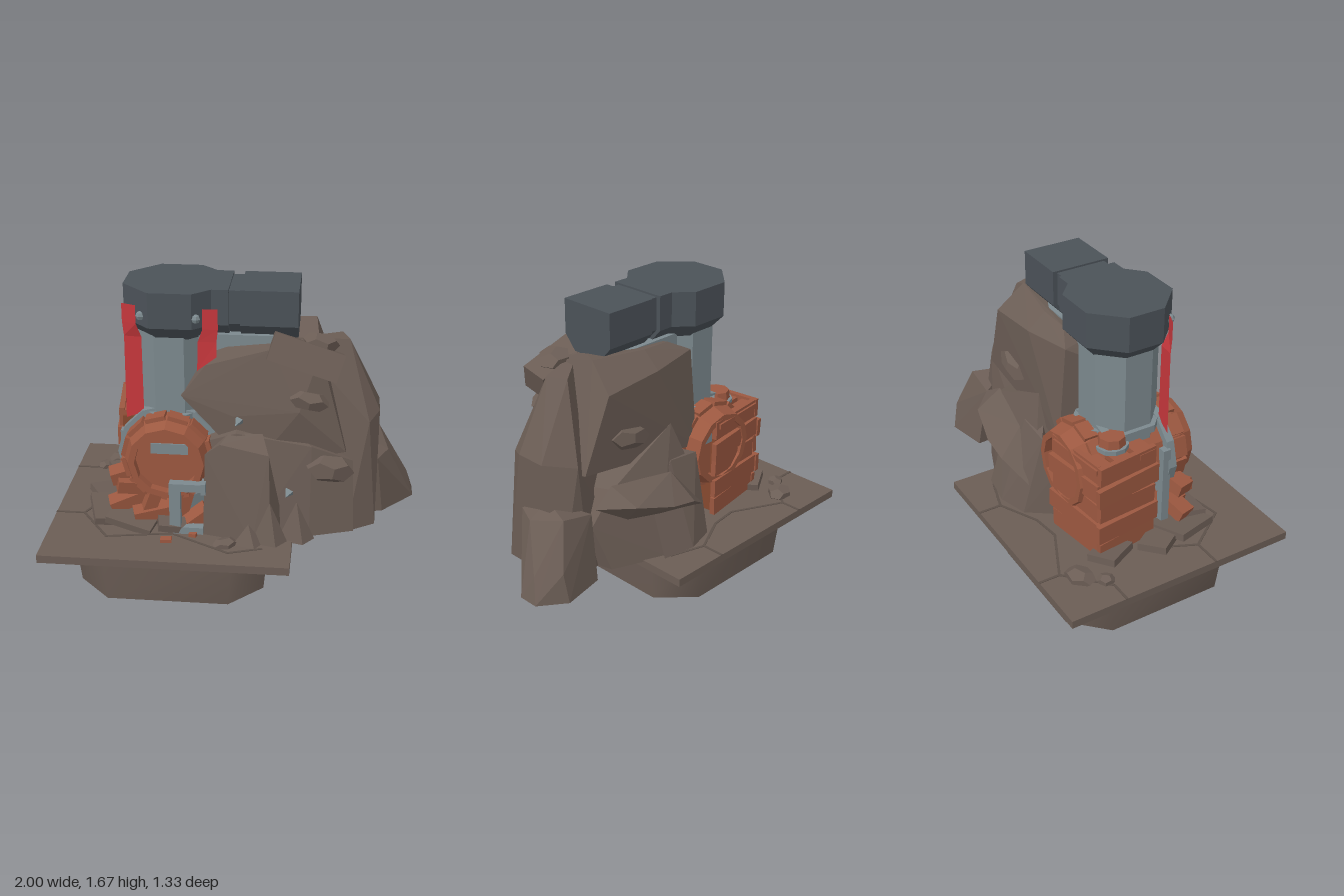
import * as THREE from 'three';
import { ConvexGeometry } from 'three/addons/geometries/ConvexGeometry.js';

const mat = (name, color, flat = true) => {
  const m = new THREE.MeshStandardMaterial({ color, flatShading: flat });
  m.name = name;
  return m;
};

export function createModel() {
  const root = new THREE.Group();
  root.name = 'rockTower';
  const rock = mat('rock', 0x6b5d55), crack = mat('crack', 0x5c5049);
  const wood = mat('rustWood', 0x9c5840), darkWood = mat('darkWood', 0x85492f);
  const steel = mat('paleSteel', 0x7c898e), cap = mat('darkSteel', 0x4b5258);
  const red = mat('redCloth', 0xc5373c), bar = mat('darkBar', 0x10221f);
  const wall = mat('basinWall', 0x6b5d55, false);
  wall.side = red.side = THREE.DoubleSide;

  const add = (name, geo, m, p = [0, 0, 0], r = [0, 0, 0]) => {
    const mesh = new THREE.Mesh(geo, m);
    mesh.name = name;
    mesh.position.set(...p);
    mesh.rotation.set(...r);
    root.add(mesh);
    return mesh;
  };
  const box = (name, m, size, p, r) => add(name, new THREE.BoxGeometry(...size), m, p, r);
  const hull = (name, m, pts) => add(name, new ConvexGeometry(pts.map(p => new THREE.Vector3(...p))), m);
  // Surface through rows of points, each row running the same way
  const loft = (name, m, rows) => {
    const g = new THREE.BufferGeometry(), n = rows[0].length, idx = [];
    g.setAttribute('position', new THREE.Float32BufferAttribute(rows.flat(2), 3));
    for (let i = 0; i < rows.length - 1; i++) for (let j = 0; j < n - 1; j++) {
      const a = i * n + j;
      idx.push(a, a + n, a + 1, a + 1, a + n, a + n + 1);
    }
    g.setIndex(idx);
    g.computeVertexNormals();
    return add(name, g, m);
  };

  // Floor slab and its cracks
  box('slab', rock, [1.33, 0.045, 1.334], [-0.333, 0.3275, 0]);
  const cracks = [
    [[-1, -0.35], [-0.88, -0.35], [-0.67, -0.55], [-0.67, -0.667]],
    [[-0.67, -0.55], [-0.38, -0.41], [-0.22, -0.43], [0, -0.54], [0, -0.667]],
    [[0, -0.54], [0.2, -0.48]],
    [[-1, 0.2], [-0.84, 0.2], [-0.67, 0.44], [-0.32, 0.38], [0, 0.55], [0.18, 0.49]],
    [[-0.84, 0.2], [-0.77, 0.05]]
  ];
  for (const line of cracks) for (let i = 1; i < line.length; i++) {
    const [a, b] = line[i - 1], [c, d] = line[i];
    box('floorCrack', crack, [Math.hypot(c - a, d - b), 0.004, 0.014],
      [(a + c) / 2, 0.351, (b + d) / 2], [0, -Math.atan2(d - b, c - a), 0]);
  }

  // Open basin: a square with cut corners
  const corners = [[0.54, 0.35], [0.35, 0.54], [-0.35, 0.54], [-0.54, 0.35],
    [-0.54, -0.35], [-0.35, -0.54], [0.35, -0.54], [0.54, -0.35], [0.54, 0.35]];
  const basinRow = (s, y) => corners.map(([x, z]) => [-0.333 + x * s, y, z * s]).reverse();
  loft('basin', wall, [basinRow(1, 0.31), basinRow(0.945, 0)]);
  // Diagonal grate whose bar ends poke out of the basin wall
  for (let i = -3; i <= 3; i++) {
    const c = i * 0.23, half = Math.min(0.63, (1.09 - Math.abs(c)) / Math.SQRT2) + 0.03;
    for (const s of [1, -1])
      add('grateBar', new THREE.CylinderGeometry(0.018, 0.018, 2 * half, 6), bar,
        [-0.333 + c / 2, 0.288, -s * c / 2], [Math.PI / 2, 0, -s * Math.PI / 4]);
  }

  // Eight-sided steel column, collar and duct that turns down inside the cliff
  const k = 1 / Math.cos(Math.PI / 8);
  const column = (name, r, h, y, m) =>
    add(name, new THREE.CylinderGeometry(r * k, r * k, h, 8), m, [-0.34, y, 0], [0, Math.PI / 8, 0]);
  column('column', 0.19, 1.07, 0.885, steel);
  column('columnCollar', 0.215, 0.04, 0.965, steel);
  box('duct', steel, [0.44, 0.14, 0.28], [0.03, 1.35, 0]);
  box('ductFoot', steel, [0.16, 0.08, 0.2], [0.415, 0.376, -0.05]);

  // Dark head with a tapered underside and a grooved arm
  const oct = (s, y) => [[-0.585, 0.1], [-0.435, 0.25], [-0.21, 0.25], [-0.07, 0.12]]
    .flatMap(([x, z]) => [[-0.33 + (x + 0.33) * s, y, z * s], [-0.33 + (x + 0.33) * s, y, -z * s]]);
  hull('head', cap, [...oct(1, 1.67), ...oct(1, 1.48), ...oct(0.72, 1.4)]);
  const arm = (a, b, w, top) => hull('headArm', cap, [a, b].flatMap(x =>
    [[w, top], [w, 1.48], [w - 0.07, 1.4]].flatMap(([z, y]) => [[x, y, z], [x, y, -z]])));
  arm(-0.22, -0.03, 0.165, 1.67);
  arm(-0.03, 0.03, 0.14, 1.66);
  arm(0.03, 0.33, 0.165, 1.67);
  for (const [x, a] of [[-0.48, -0.75], [-0.19, 0.75]])
    add('bolt', new THREE.SphereGeometry(0.025, 6, 4), steel, [x, 1.535, x < -0.3 ? 0.21 : 0.235], [0, a, 0]);

  // Red hanging cloths, each from rows of left and right edge points
  loft('leftCloth', red, [[[-0.588, 1.58, 0.15], [-0.51, 1.58, 0.182]], [[-0.588, 1.48, 0.15], [-0.51, 1.48, 0.182]],
    [[-0.58, 1.4, 0.15], [-0.487, 1.4, 0.16]], [[-0.585, 0.93, 0.15], [-0.487, 0.97, 0.16]]]);
  loft('rightCloth', red, [[[-0.16, 1.58, 0.21], [-0.08, 1.58, 0.208]], [[-0.16, 1.47, 0.21], [-0.08, 1.47, 0.208]],
    [[-0.185, 1.4, 0.205], [-0.088, 1.4, 0.205]], [[-0.19, 1.24, 0.21], [-0.088, 1.32, 0.21]]]);

  // Wooden cross barrel with sloped ends, raised rims, staves, hoops and windows
  const profile = [[0, -0.3], [0.17, -0.3], [0.17, -0.355], [0.205, -0.355], [0.24, -0.25],
    [0.24, 0.25], [0.205, 0.34], [0.17, 0.34], [0.17, 0.29], [0, 0.29]];
  add('barrel', new THREE.LatheGeometry(profile.map(p => new THREE.Vector2(...p)), 12), wood,
    [-0.35, 0.75, 0], [Math.PI / 2, 0, 0]);
  const ring = new THREE.Shape().absarc(0, 0, 0.285, 0, Math.PI * 2);
  ring.holes.push(new THREE.Path().absarc(0, 0, 0.24, 0, Math.PI * 2, true));
  const hoop = new THREE.ExtrudeGeometry(ring, { depth: 0.045, bevelEnabled: false, curveSegments: 6 });
  for (const s of [1, -1]) {
    box('barrelWindow', steel, [0.2, 0.06, 0.008], [-0.335, 0.82, s > 0 ? 0.293 : -0.303]);
    for (let i = 0; i < 12; i++) {
      const a = (i + 0.5) * Math.PI / 6;
      box('barrelStave', wood, [0.03, 0.11, 0.08],
        [-0.35 + 0.232 * Math.cos(a), 0.75 + 0.232 * Math.sin(a), s * 0.235], [0, 0, a]);
    }
    add('barrelHoop', hoop, steel, [-0.35, 0.74, s > 0 ? 0.14 : -0.185]);
  }

  // Plank crate beside the barrel, with a small keg on its lid
  box('crateCore', darkWood, [0.36, 0.54, 0.34], [-0.47, 0.62, -0.14], [0, 0.12, 0]);
  for (let i = 0; i < 5; i++) {
    const y = 0.41 + i * 0.117, w = (i % 2) * 0.03, tilt = (i % 3 - 1) * 0.04;
    box('cratePlank', wood, [0.03, 0.105, 0.36 + w], [-0.655 - w * 0.4, y, -0.14], [tilt, 0.12, 0]);
    box('cratePlank', wood, [0.38 + w, 0.105, 0.03], [-0.47, y, -0.325 - w * 0.4], [0, 0.12, tilt]);
  }
  for (const z of [-0.3, -0.17, -0.04])
    box('crateLid', wood, [0.36, 0.03, 0.1], [-0.48, 0.9, z], [0, 0.12, 0]);
  add('keg', new THREE.CylinderGeometry(0.07, 0.08, 0.08, 8), wood, [-0.52, 0.95, -0.15]);
  add('kegHoop', new THREE.CylinderGeometry(0.09, 0.09, 0.025, 10), steel, [-0.52, 0.93, -0.15]);

  // Loose planks under the barrel
  for (const [x, y, z, l, a] of [[-0.56, 0.47, 0.2, 0.26, 0.3], [-0.52, 0.56, 0.22, 0.24, -0.2],
    [-0.4, 0.42, 0.24, 0.3, 0.1], [-0.28, 0.46, 0.22, 0.24, 1.3], [-0.46, 0.46, 0.24, 0.2, 1.2],
    [-0.2, 0.4, 0.28, 0.16, 0.6], [-0.6, 0.62, 0.2, 0.16, 0.2]])
    box('loosePlank', wood, [l, 0.07, 0.1], [x, y, z], [0.1, 0.3, a]);
  // Bent pipes
  box('frontPipe', steel, [0.06, 0.29, 0.05], [-0.3, 0.505, 0.36]);
  box('frontPipe', steel, [0.18, 0.045, 0.05], [-0.24, 0.635, 0.36]);
  box('frontPipe', steel, [0.16, 0.04, 0.05], [-0.23, 0.375, 0.36]);
  box('pipeFlange', steel, [0.025, 0.065, 0.07], [-0.145, 0.635, 0.36]);
  box('sidePipe', steel, [0.045, 0.5, 0.045], [-0.6, 0.6, 0.13]);

  // Main cliff: crown, spire and broad foot
  hull('cliffCrown', rock, [[-0.28, 1.09, 0.2], [-0.15, 1.26, 0.18], [-0.08, 1.35, 0.13], [0.2, 1.37, 0.2],
    [0.45, 1.36, 0.2], [0.35, 1.05, 0.27], [0, 1, 0.24], [0.1, 1.42, -0.18], [0.42, 1.44, -0.13],
    [0.1, 1.33, -0.28], [0.45, 1.3, -0.28], [-0.08, 1.41, -0.17], [-0.2, 1.35, -0.23], [-0.21, 0.8, -0.28],
    [0.6, 0.9, -0.26], [0.1, 0.7, 0.25], [0.6, 0.8, 0.2]]);
  hull('cliffSpire', rock, [[0.6, 1.37, 0.01], [0.56, 1.37, -0.1], [0.3, 1.4, 0.1], [0.775, 0.98, -0.13],
    [0.775, 0.98, 0.04], [0.72, 0.95, 0.14], [0.775, 0.34, 0.15], [0.775, 0.34, -0.26], [0.62, 0.34, 0.25],
    [0.6, 0.34, -0.28], [0.3, 0.34, 0.2], [0.3, 0.34, -0.2], [0.63, 0.95, -0.24]]);
  hull('cliffFoot', rock, [[-0.13, 0.34, 0.32], [0.1, 0.34, 0.36], [0.42, 0.34, 0.32], [0.66, 0.34, 0.24],
    [0.64, 0.75, 0.2], [0.42, 0.85, 0.26], [0.02, 0.92, 0.28], [-0.14, 0.85, 0.24], [-0.2, 0.34, -0.3],
    [-0.08, 0.34, -0.46], [0.2, 0.34, -0.46], [0.5, 0.34, -0.34], [-0.1, 0.7, -0.36], [0.15, 0.66, -0.39],
    [0.45, 0.78, -0.3], [0.0, 1, -0.28], [0.58, 0.6, -0.28]]);
  // Separate boulders and low wedges at the foot
  hull('frontBoulder', rock, [[-0.15, 0.34, 0.37], [0.12, 0.34, 0.43], [0.22, 0.34, 0.43],
    [-0.14, 0.82, 0.34], [-0.06, 0.88, 0.34], [-0.02, 0.91, 0.26], [0.16, 0.92, 0.27], [0.2, 0.84, 0.37],
    [0, 0.34, 0.2], [0.28, 0.4, 0.3]]);
  for (const [x, y, z, w] of [[0.21, 0.58, 0.4, 0.1], [0.35, 0.56, 0.34, 0.1], [0.1, 0.46, 0.43, 0.09]])
    hull('wedge', rock, [[x, y, z], [x - w, 0.34, z + 0.04], [x + 0.04, 0.34, z + 0.075],
      [x + w, 0.34, z], [x, 0.34, z - 0.12]]);
  hull('sideBoulder', rock, [[1, 0.34, -0.31], [1, 0.34, -0.2], [0.96, 0.47, -0.26], [0.87, 0.5, -0.38],
    [0.86, 0.34, -0.41], [0.82, 0.34, 0], [0.78, 0.68, 0.03], [0.84, 0.68, -0.1], [0.79, 0.74, -0.3],
    [0.72, 0.75, -0.1], [0.62, 0.34, -0.36], [0.6, 0.7, -0.3], [0.65, 0.34, 0.04]]);
  hull('backBoulder', rock, [[-0.25, 0.34, -0.28], [-0.12, 0.34, -0.46], [0.05, 0.34, -0.51], [0.24, 0.34, -0.48],
    [-0.14, 0.8, -0.34], [0.06, 0.82, -0.34], [0.24, 0.6, -0.39], [0.1, 0.9, -0.2], [-0.2, 0.6, -0.3]]);
  hull('backLedge', rock, [[-0.12, 0.52, -0.42], [0.04, 0.63, -0.5], [0.2, 0.66, -0.5], [0.42, 0.72, -0.45],
    [0.58, 0.72, -0.31], [0.4, 0.61, -0.36], [0.08, 0.77, -0.36], [0.45, 0.8, -0.29], [0.2, 0.58, -0.4]]);
  // Jutting stones: position, size, rotation
  const stone = new THREE.DodecahedronGeometry(0.5, 0);
  for (const [p, s, r] of [
    [[0.4, 1.11, 0.25], [0.22, 0.12, 0.1], [0.3, 0, -0.2]], [[0.52, 0.72, 0.25], [0.28, 0.16, 0.14], [0, 0.3, -0.2]],
    [[0.3, 1.02, -0.27], [0.28, 0.13, 0.1], [0.2, 0, 0.2]],
    [[0.45, 1.39, 0.12], [0.2, 0.1, 0.18], [0, 0.4, -0.2]], [[-0.74, 0.36, -0.47], [0.18, 0.08, 0.14], [0, 0.4, 0]],
    [[-0.83, 0.36, -0.37], [0.1, 0.06, 0.09], [0, 1, 0]], [[-0.02, 0.36, 0.47], [0.14, 0.06, 0.1], [0, 0.5, 0]]
  ]) add('stone', stone, rock, p, r).scale.set(...s);
  box('topSlab', rock, [0.38, 0.15, 0.14], [0.37, 1.325, 0.17], [-0.3, 0.1, -0.3]);
  // Small steel shards stuck in the rock
  for (const p of [[0.035, 0.98, 0.255], [0.31, 0.61, 0.335]])
    add('steelShard', new THREE.TetrahedronGeometry(0.035), steel, p);
  // Flat broken slabs on the floor
  for (const [x, z, w, d, a] of [[-0.67, 0.2, 0.24, 0.26, 0.3], [-0.55, 0.31, 0.26, 0.14, -0.2],
    [-0.73, 0.02, 0.16, 0.2, 0.6], [-0.3, 0.34, 0.2, 0.1, 0.2], [-0.68, -0.25, 0.16, 0.2, 0.5]])
    box('brokenSlab', rock, [w, 0.04, d], [x, 0.385, z], [0.1, a, -0.18]);
  for (const [x, z] of [[-0.34, 0.46], [-0.2, 0.38], [-0.27, 0.34]])
    box('woodChip', wood, [0.06, 0.02, 0.04], [x, 0.36, z], [0, x * 9, 0]);
  return root;
}
